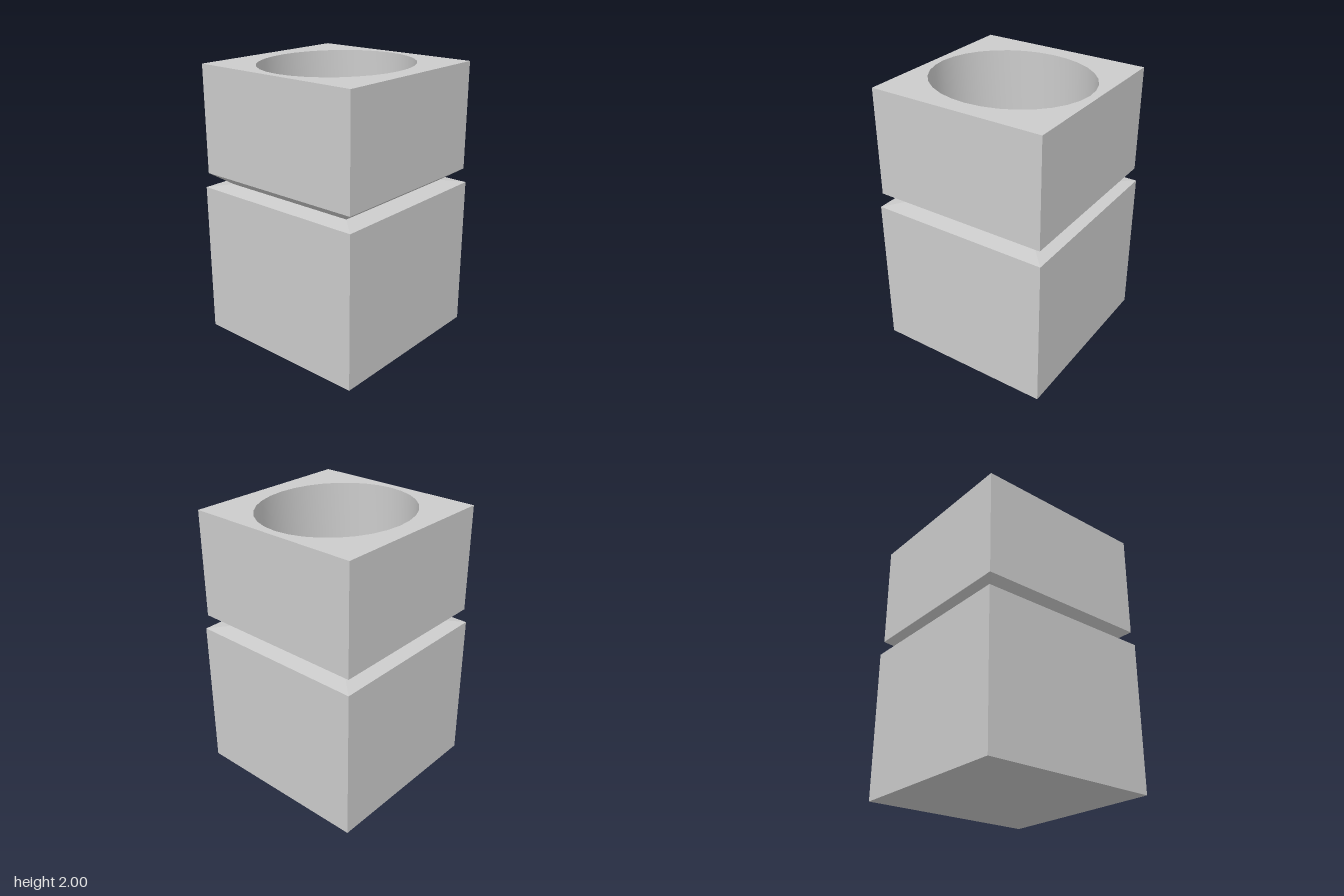
import * as THREE from 'three';
import { toCreasedNormals } from 'three/addons/utils/BufferGeometryUtils.js';

const material = new THREE.MeshStandardMaterial({ color: 0xcccccc });

function addMesh(group, name, geometry) {
  const mesh = new THREE.Mesh(geometry, material);
  mesh.name = name;
  group.add(mesh);
  return mesh;
}

// Closed rectangular frustum; each end is [y, halfWidth, halfDepth]
function frustum([y0, w0, d0], [y1, w1, d1]) {
  const geometry = new THREE.BoxGeometry(2, y1 - y0, 2);
  geometry.translate(0, (y0 + y1) / 2, 0);
  const p = geometry.attributes.position;
  for (let i = 0; i < p.count; i++) {
    const top = p.getY(i) > (y0 + y1) / 2;
    p.setX(i, p.getX(i) * (top ? w1 : w0));
    p.setZ(i, p.getZ(i) * (top ? d1 : d0));
  }
  geometry.computeVertexNormals();
  return geometry;
}

export function createModel() {
  const group = new THREE.Group();
  group.name = 'blockHolder';

  // Sections of the solid, from the base up to the underside of the cup
  const base = [0, 0.673, 0.658];
  const shoulder = [1.115, 0.673, 0.658];
  const neck = [1.135, 0.53, 0.525];
  const cupBottom = [1.22, 0.658, 0.643];

  addMesh(group, 'baseBlock', frustum(base, shoulder));
  addMesh(group, 'shoulderSlope', frustum(shoulder, neck));
  // The top of this flare is also the floor of the cavity
  addMesh(group, 'neckFlare', frustum(neck, cupBottom));

  // Upper block with an oval cavity open at the top
  const [y, w, d] = cupBottom;
  const outline = new THREE.Shape([
    new THREE.Vector2(-w, -d), new THREE.Vector2(w, -d),
    new THREE.Vector2(w, d), new THREE.Vector2(-w, d),
  ]);
  const hole = new THREE.Path();
  hole.absellipse(0, 0, 0.525, 0.584, 0, Math.PI * 2, true);
  outline.holes.push(hole);
  const cup = new THREE.ExtrudeGeometry(outline, {
    depth: 2 - y, bevelEnabled: false, curveSegments: 16,
  });
  cup.rotateX(-Math.PI / 2).translate(0, y, 0);
  addMesh(group, 'cupBlock', toCreasedNormals(cup, 0.6));

  return group;
}
